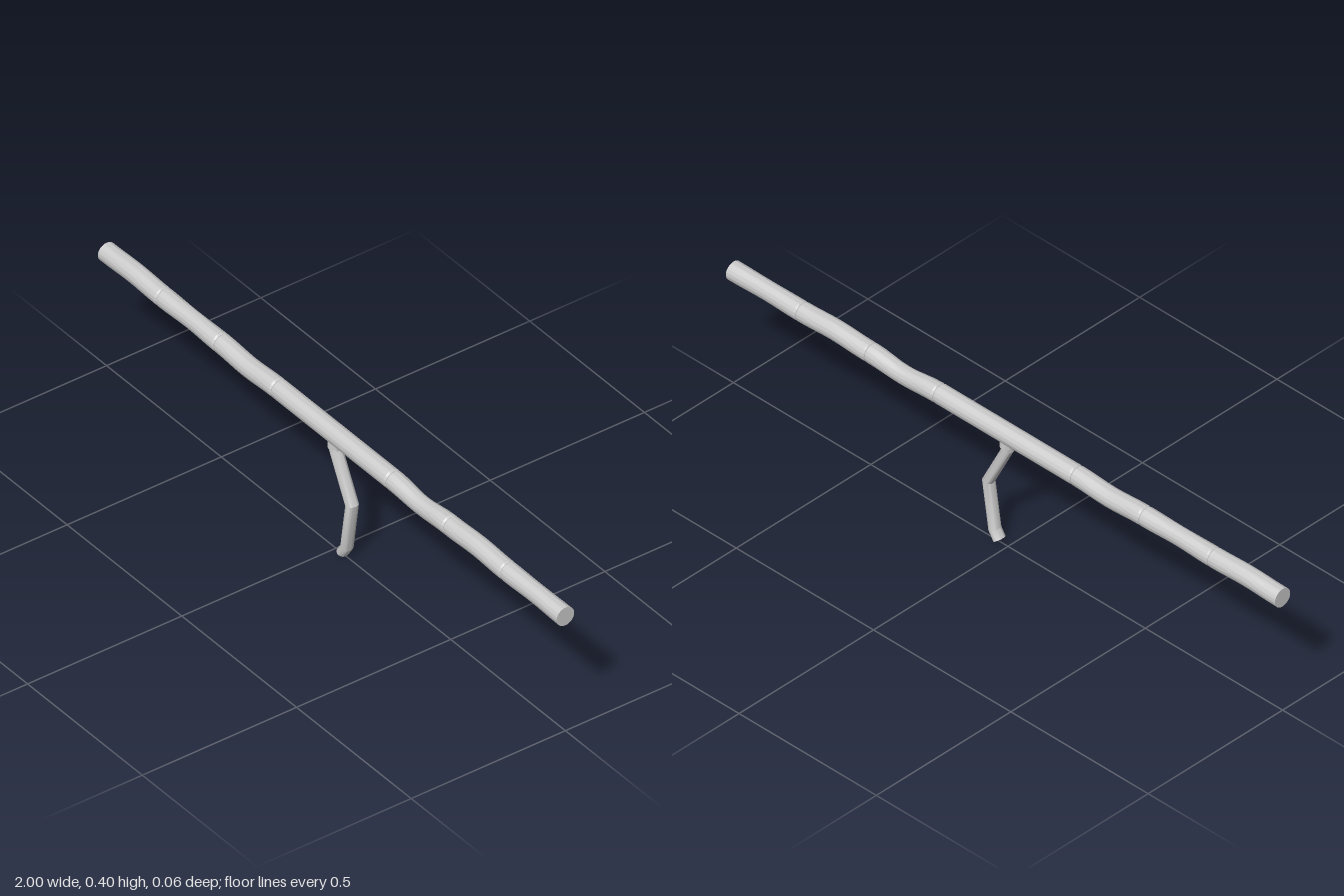
import * as THREE from 'three';
import { toCreasedNormals } from 'three/addons/utils/BufferGeometryUtils.js';

const SIDES = 32;

// Capped tube along stations [x, y, radius, zRadius], with mitred bends in the XY plane
function sweep(stations) {
  const pos = [], idx = [];
  const pts = stations.map(([x, y]) => new THREE.Vector2(x, y));
  const last = pts.length - 1;
  const dir = (i) => pts[i + 1].clone().sub(pts[i]).normalize();
  stations.forEach(([x, y, r, rz = r], i) => {
    const before = dir(Math.max(i - 1, 0)), after = dir(Math.min(i, last - 1));
    const t = before.clone().add(after).normalize();
    const mitre = r / t.dot(after);
    for (let j = 0; j < SIDES; j++) {
      const a = (j / SIDES) * Math.PI * 2, c = Math.cos(a) * mitre;
      pos.push(x - t.y * c, y + t.x * c, Math.sin(a) * rz);
    }
  });
  const start = pos.length / 3;
  for (const i of [0, last]) pos.push(pts[i].x, pts[i].y, 0);
  for (let j = 0; j < SIDES; j++) {
    const k = (j + 1) % SIDES;
    for (let i = 0; i < last; i++) {
      const a = i * SIDES, b = a + SIDES;
      idx.push(a + j, a + k, b + k, a + j, b + k, b + j);
    }
    idx.push(start, k, j, start + 1, last * SIDES + j, last * SIDES + k);
  }
  const g = new THREE.BufferGeometry();
  g.setAttribute('position', new THREE.Float32BufferAttribute(pos, 3));
  g.setIndex(idx);
  return toCreasedNormals(g, 0.45);
}

export function createModel() {
  const group = new THREE.Group();
  const material = new THREE.MeshStandardMaterial({ color: 0xcccccc });
  const add = (name, stations) => {
    const mesh = new THREE.Mesh(sweep(stations), material);
    mesh.name = name;
    group.add(mesh);
  };

  // Stem sections: start x, end x, mid bend, mid narrowing
  const Y = 0.372, R = 0.0285, GROOVE = 0.025, LIP = 0.005;
  const sections = [
    [-1, -0.75, 0.004, 0], [-0.75, -0.5, 0.001, 0.003], [-0.5, -0.25, -0.006, 0],
    [-0.25, 0.25, 0, 0],
    [0.25, 0.5, -0.009, 0.003], [0.5, 0.75, 0.005, 0], [0.75, 1, 0.001, 0.002],
  ];
  sections.forEach(([x0, x1, bend, pinch], n) => {
    const stations = [[x0, Y, n === 0 ? R : GROOVE]];
    for (let i = 0; i <= 8; i++) {
      const u = i / 8, s = Math.sin(u * Math.PI) ** 2;
      const x = THREE.MathUtils.lerp(x0 + LIP, x1 - LIP, u);
      stations.push([x, Y + bend * s, R - pinch * s * 0.5, R - pinch * s]);
    }
    stations.push([x1, Y, n === sections.length - 1 ? R : GROOVE]);
    add('stemSection' + (n + 1), stations);
  });

  // Collar where the side branch leaves the stem
  add('branchCollar', [[0, 0.335, 0.019, 0.024], [0, 0.36, 0.019, 0.024]]);

  // Crooked side branch, from the stem down to its cut tip
  add('sideBranch', [
    [0, 0.355], [0, 0.323], [0.07, 0.185], [0.048, 0.038], [0.031, 0.012],
  ].map(([x, y]) => [x, y, 0.0155, 0.019]));

  return group;
}
